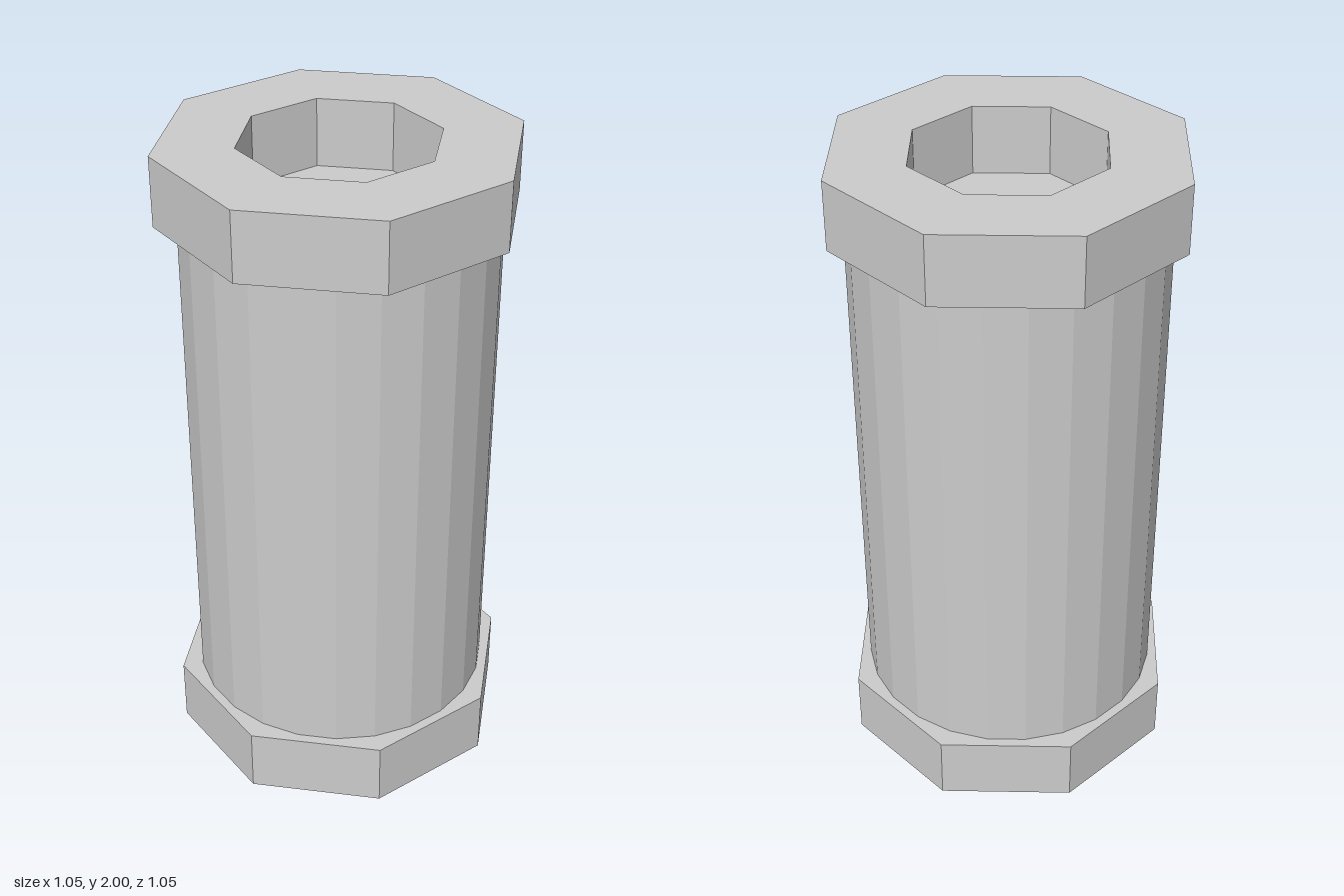
import * as THREE from 'three';

const H = 2, COLLAR_H = 0.208, COLLAR_R = 0.527, SOCKET_R = 0.293, BODY_R = 0.462;

// corners of a regular octagon with a corner on each axis
function octagon(radius) {
  return Array.from({ length: 8 }, (_, i) => {
    const a = (i * Math.PI) / 4;
    return new THREE.Vector2(radius * Math.cos(a), radius * Math.sin(a));
  });
}

export function createModel() {
  const group = new THREE.Group();
  const material = new THREE.MeshStandardMaterial({ color: 0xcccccc, flatShading: true });

  function add(name, geometry, y) {
    const mesh = new THREE.Mesh(geometry, material);
    mesh.name = name;
    mesh.position.y = y;
    group.add(mesh);
  }

  // solid eight-sided foot
  add('bottomCollar', new THREE.CylinderGeometry(COLLAR_R, COLLAR_R, COLLAR_H, 8), COLLAR_H / 2);

  // 24-sided barrel; its top cap is the floor of the socket
  add('body', new THREE.CylinderGeometry(BODY_R, BODY_R, H - 2 * COLLAR_H, 24), H / 2);

  // eight-sided collar with an eight-sided socket through it
  const ring = new THREE.Shape(octagon(COLLAR_R));
  ring.holes.push(new THREE.Path(octagon(SOCKET_R)));
  const collar = new THREE.ExtrudeGeometry(ring, { depth: COLLAR_H, bevelEnabled: false });
  collar.rotateX(-Math.PI / 2);
  add('topCollar', collar, H - COLLAR_H);

  return group;
}
